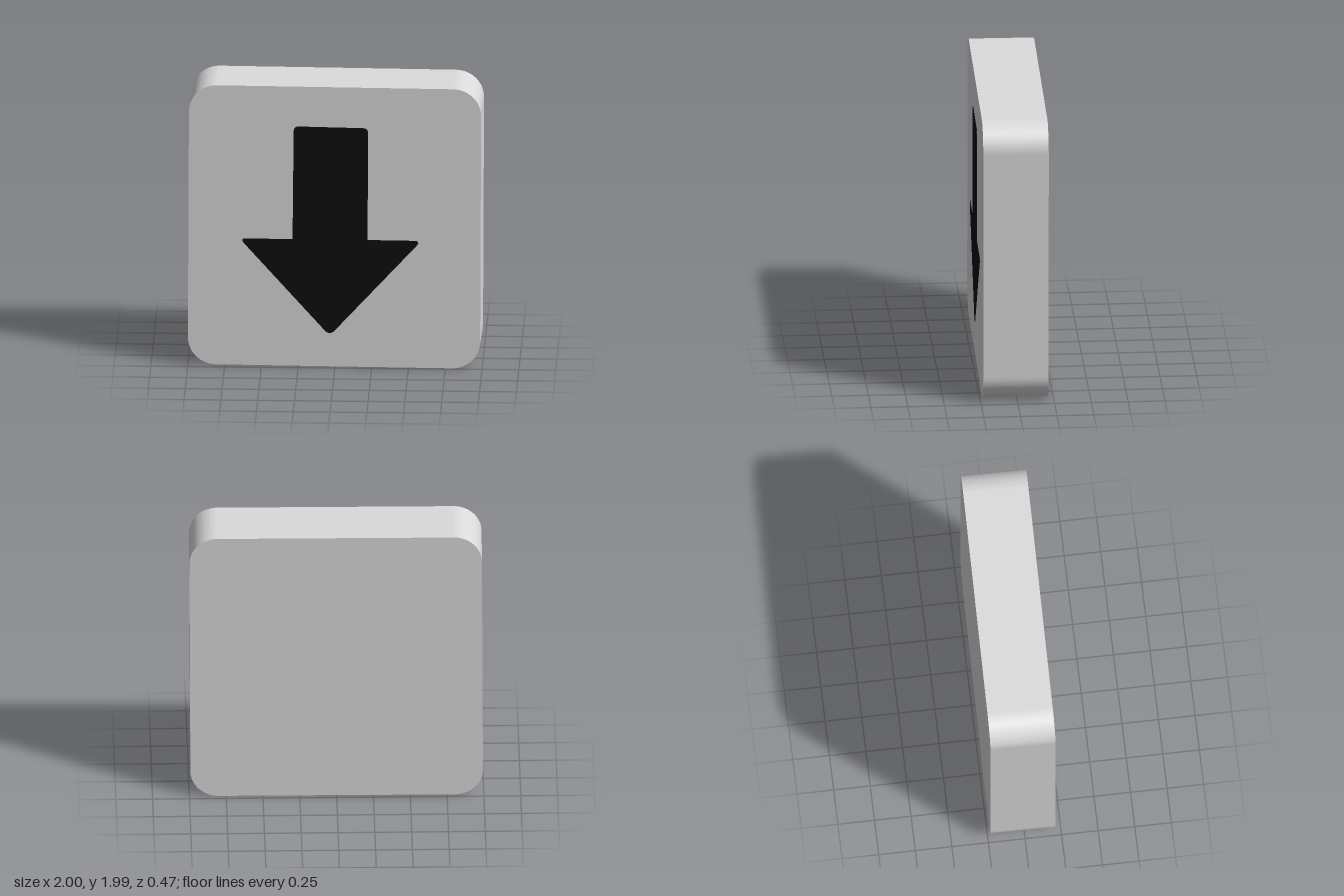
import * as THREE from 'three';

// Polygon outline whose corners [x, y, cut] are rounded over the distance cut
function roundedShape(corners) {
  const shape = new THREE.Shape();
  const n = corners.length;
  const toward = (a, b) => {
    const p = new THREE.Vector2(a[0], a[1]);
    const d = new THREE.Vector2(b[0], b[1]).sub(p).setLength(a[2]);
    return p.add(d);
  };
  corners.forEach((c, i) => {
    const start = toward(c, corners[(i + n - 1) % n]);
    if (i === 0) shape.moveTo(start.x, start.y);
    else shape.lineTo(start.x, start.y);
    if (c[2] > 0) {
      const end = toward(c, corners[(i + 1) % n]);
      shape.quadraticCurveTo(c[0], c[1], end.x, end.y);
    }
  });
  shape.closePath();
  return shape;
}

// Square with true circular corners
function roundedSquare(h, r) {
  const shape = new THREE.Shape();
  const k = h - r;
  [[k, k], [-k, k], [-k, -k], [k, -k]].forEach(([x, y], i) => {
    shape.absarc(x, y, r, i * Math.PI / 2, (i + 1) * Math.PI / 2, false);
  });
  return shape;
}

export function createModel() {
  const model = new THREE.Group();
  model.name = 'arrowTile';
  const grey = new THREE.MeshStandardMaterial({ color: 0xdcdcdc });
  grey.name = 'light grey';
  const black = new THREE.MeshStandardMaterial({ color: 0x0d0d0d });
  black.name = 'black';

  // The tile sits very slightly askew
  const tile = new THREE.Group();
  tile.name = 'tile';
  tile.position.y = 1;
  tile.rotation.set(0, -0.0127, -0.004);
  model.add(tile);

  // Thick slab with faceted rounded corners
  const depth = 0.445;
  const slab = new THREE.Mesh(
    new THREE.ExtrudeGeometry(roundedSquare(0.993, 0.19), { depth, bevelEnabled: false, curveSegments: 8 }),
    grey);
  slab.name = 'slab';
  slab.position.z = -depth / 2;
  tile.add(slab);

  // Thin downward arrow on the front face
  const arrowShape = roundedShape([
    [-0.28, 0.71, 0.035], [-0.285, -0.093, 0], [-0.645, -0.093, 0.045],
    [-0.03, -0.775, 0.05], [0.59, -0.09, 0.05], [0.225, -0.09, 0], [0.225, 0.705, 0.035],
  ]);
  const arrow = new THREE.Mesh(
    new THREE.ExtrudeGeometry(arrowShape, { depth: 0.003, bevelEnabled: false, curveSegments: 6 }),
    black);
  arrow.name = 'arrow';
  arrow.position.z = depth / 2;
  tile.add(arrow);

  return model;
}
